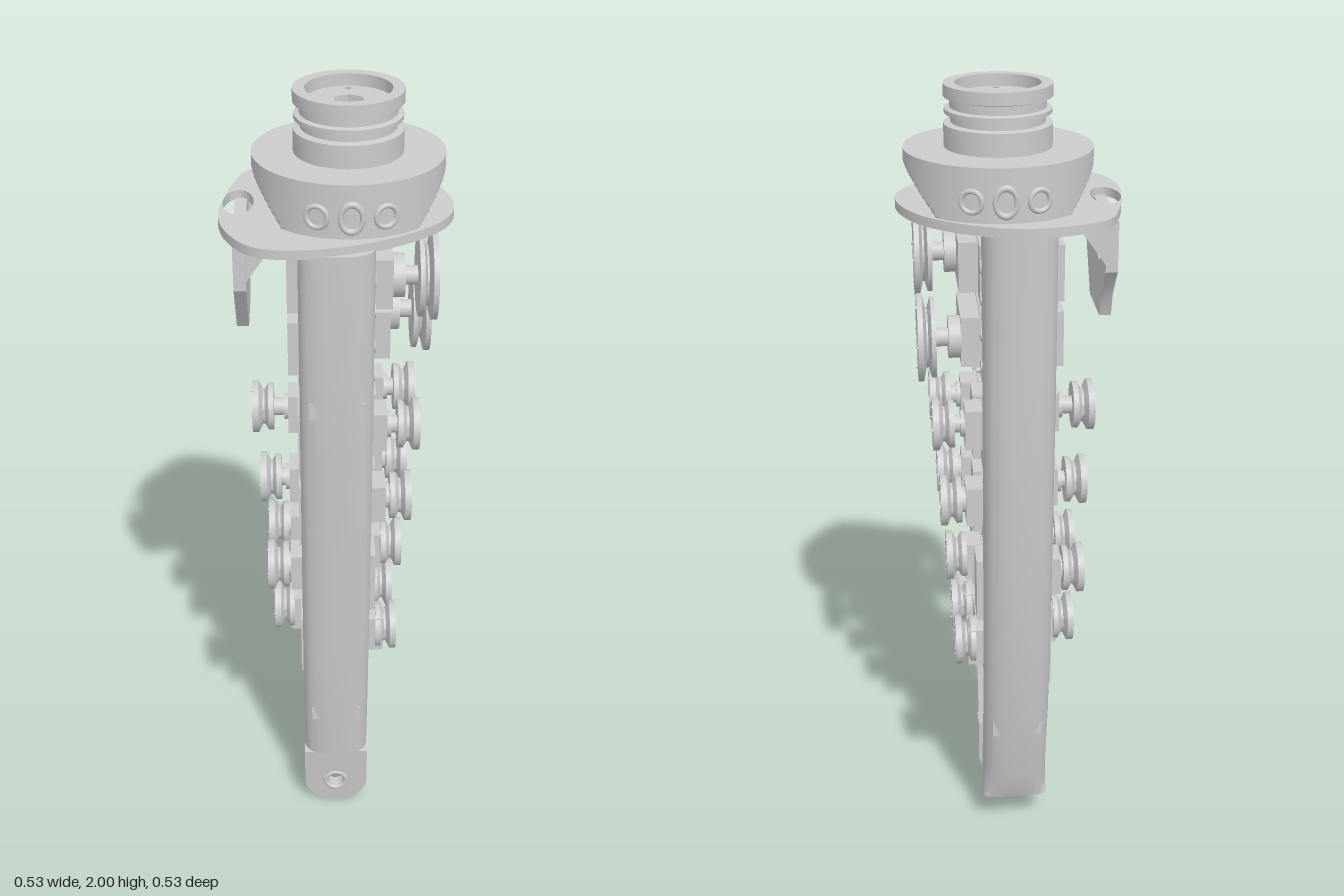
import * as THREE from 'three';
import { toCreasedNormals } from 'three/addons/utils/BufferGeometryUtils.js';

const mat = new THREE.MeshStandardMaterial({ color: 0xcccccc, side: THREE.DoubleSide });
const V = (x, y) => new THREE.Vector2(x, y);

function add(parent, name, geo, x = 0, y = 0, z = 0) {
  const m = new THREE.Mesh(geo, mat);
  m.name = name;
  m.position.set(x, y, z);
  parent.add(m);
  return m;
}
const box = (p, name, w, h, d, x, y, z) => add(p, name, new THREE.BoxGeometry(w, h, d), x, y, z);
// cylinder lying along x
const rod = (p, name, r, len, x, y, z, n = 20) =>
  add(p, name, new THREE.CylinderGeometry(r, r, len, n).rotateZ(-Math.PI / 2), x, y, z);
const circle = (x, y, r, ry = r) => new THREE.Path().absellipse(x, y, r, ry, 0, Math.PI * 2, true);
const poly = (pts) => new THREE.Path(pts.map((p) => V(...p)));
const rect = (x0, y0, x1, y1) => poly([[x0, y0], [x0, y1], [x1, y1], [x1, y0]]);
const ngon = (x, y, r, n) => poly(Array.from({ length: n }, (_, i) => {
  const a = Math.PI / 2 - (i / n) * Math.PI * 2;
  return [x + r * Math.cos(a), y + r * Math.sin(a)];
}));
function extrude(shape, holes, depth) {
  shape.holes.push(...holes);
  const g = new THREE.ExtrudeGeometry(shape, { depth, bevelEnabled: false, curveSegments: 24 });
  return toCreasedNormals(g, 0.6);
}

// Curved shell: rows of [y, outer z, inner z], half-rounded section of half width w
function shell(rows, w) {
  const n = 20, pos = [], idx = [];
  const sign = Math.sign(rows[0][1]);
  for (const [y, zo, zi] of rows) {
    for (let i = 0; i <= n; i++) {
      const a = (i / n) * Math.PI, c = Math.cos(a);
      pos.push(-0.005 + w * Math.sign(c) * Math.abs(c) ** 0.8, y, zi + (zo - zi) * Math.sin(a) ** 0.7);
    }
  }
  const m = n + 1;
  const tri = (a, b, c) => idx.push(...(sign > 0 ? [a, b, c] : [a, c, b]));
  for (let r = 0; r < rows.length - 1; r++) {
    for (let i = 0; i < m; i++) {
      const j = (i + 1) % m, a = r * m + i, b = r * m + j;
      tri(a, a + m, b);
      tri(b, a + m, b + m);
    }
  }
  const last = (rows.length - 1) * m;
  for (let i = 1; i < n; i++) {
    tri(0, i, i + 1);
    tri(last, last + i + 1, last + i);
  }
  const g = new THREE.BufferGeometry();
  g.setAttribute('position', new THREE.Float32BufferAttribute(pos, 3));
  g.setIndex(idx);
  return toCreasedNormals(g, 0.6);
}

// Grooved pulley whose outer face sits at side * xOut
function pulley(parent, side, xOut, y, z, r, w, xShaft) {
  const g = new THREE.Group();
  g.name = 'pulley';
  const p = [[0.014, 0], [r * 0.92, 0], [r * 0.92, w * 0.25], [r * 0.68, w * 0.42], [r * 0.68, w * 0.52],
    [r, w * 0.7], [r, w], [r * 0.5, w], [r * 0.46, w * 0.9], [0.014, w * 0.9], [0.014, 0]];
  const geo = toCreasedNormals(new THREE.LatheGeometry(p.map((q) => V(...q)), 32), 0.6);
  add(g, 'pulleyWheel', geo.rotateZ(-Math.PI / 2), xOut - w);
  rod(g, 'shaft', 0.022, xOut - w - xShaft, (xOut - w + xShaft) / 2, 0, 0);
  rod(g, 'shaftScrew', 0.015, w * 0.8, xOut - w * 0.55, 0, 0, 6);
  for (let i = 0; i < 4; i++) {
    const a = (i / 4) * Math.PI * 2;
    rod(g, 'wheelBolt', r * 0.05, 0.004, xOut + 0.001, Math.sin(a) * r * 0.7, Math.cos(a) * r * 0.7, 8);
  }
  if (side < 0) g.rotation.y = Math.PI;
  g.position.set(0, y, z);
  parent.add(g);
}

// Small servo facing +x or -x with its pulley
function servo(parent, side, y, z, xOut) {
  const g = new THREE.Group();
  g.name = 'smallServo';
  box(g, 'servoBody', 0.17, 0.17, 0.086, -side * 0.01, y - 0.035, z);
  box(g, 'servoEars', 0.012, 0.205, 0.08, side * 0.06, y - 0.03, z);
  box(g, 'gearCase', 0.05, 0.1, 0.078, side * 0.093, y - 0.005, z);
  rod(g, 'gearBoss', 0.032, 0.012, side * 0.122, y, z);
  for (const dy of [-0.122, 0.062]) rod(g, 'earScrew', 0.008, 0.012, side * 0.068, y + dy, z, 8);
  pulley(g, side, xOut, y, z, 0.063, 0.052, 0.11);
  parent.add(g);
}

// Large servo lying along z, facing +x
function largeServo(parent, y, yPulley, z) {
  const g = new THREE.Group();
  g.name = 'largeServo';
  box(g, 'servoBody', 0.195, 0.135, 0.25, -0.018, y, 0);
  box(g, 'gearCase', 0.05, 0.12, 0.19, 0.1, y, z * 0.4);
  rod(g, 'gearBoss', 0.05, 0.03, 0.138, yPulley, z, 24);
  for (const s of [-1, 1]) {
    box(g, 'servoEar', 0.015, 0.125, 0.07, 0.065, y, s * 0.155);
    for (const dy of [-0.037, 0.037]) rod(g, 'earScrew', 0.015, 0.014, 0.076, y + dy, s * 0.18, 12);
  }
  pulley(g, 1, 0.225, yPulley, z, 0.103, 0.042, 0.12);
  parent.add(g);
}

export function createModel() {
  const root = new THREE.Group();
  root.name = 'roboticForearm';

  // Front and back outer shells
  add(root, 'frontShell', shell([[1.72, 0.262, 0.2], [1.4, 0.257, 0.2], [1.2, 0.247, 0.193],
    [0.9, 0.22, 0.17], [0.6, 0.198, 0.15], [0.4, 0.18, 0.125], [0.2, 0.157, 0.09]], 0.085));
  add(root, 'backShell', shell([[1.72, -0.262, -0.19], [1.3, -0.258, -0.185], [1.1, -0.25, -0.175],
    [0.9, -0.238, -0.165], [0.65, -0.215, -0.145], [0.4, -0.18, -0.115], [0.2, -0.147, -0.06],
    [0.14, -0.132, -0.07], [0.1, -0.115, -0.1]], 0.085));

  // Rounded fingertip lug with an eye, thinning towards the bottom
  const lug = new THREE.Shape();
  lug.moveTo(0.085, 0.2).lineTo(-0.085, 0.2).lineTo(-0.085, 0.085);
  lug.absarc(0, 0.085, 0.085, Math.PI, Math.PI * 2, false);
  let geo = extrude(lug, [circle(0, 0.085, 0.022)], 1);
  const p = geo.attributes.position;
  for (let i = 0; i < p.count; i++) {
    const t = p.getY(i) / 0.2;
    const inner = 0.11 - 0.02 * t, outer = 0.125 + 0.022 * t;
    p.setZ(i, inner + (outer - inner) * p.getZ(i));
  }
  add(root, 'frontLug', toCreasedNormals(geo, 0.6), -0.005);
  add(root, 'lugEyeRing', new THREE.TorusGeometry(0.028, 0.007, 8, 24), -0.005, 0.085, 0.134);

  // Central web, drawn in (-z, y), with servo windows and a bottom arch
  const web = new THREE.Shape([[-0.215, 1.715], [-0.21, 1.3], [-0.185, 0.9], [-0.16, 0.6], [-0.14, 0.4],
    [-0.115, 0.16], [-0.075, 0.17], [-0.05, 0.19], [-0.045, 0.225], [-0.025, 0.243], [0.02, 0.243],
    [0.04, 0.225], [0.045, 0.18], [0.075, 0.14], [0.1, 0.15], [0.125, 0.4], [0.165, 0.7], [0.18, 0.9],
    [0.2, 1.3], [0.205, 1.715]].map((q) => V(...q)));
  const webHoles = [rect(-0.14, 0.44, 0.14, 0.87), rect(-0.14, 0.9, 0.14, 1.29),
    rect(-0.13, 1.35, 0.13, 1.66), rect(-0.07, 1.665, 0.075, 1.705)];
  for (const [s, y] of [[-0.11, 0.36], [0.1, 0.37], [-0.18, 1.33], [0.19, 1.32]]) webHoles.push(circle(s, y, 0.011));
  geo = extrude(web, webHoles, 0.12).rotateY(Math.PI / 2);
  add(root, 'centralWeb', geo, -0.065);

  // Small tie slots on both shells
  for (const x of [-0.06, 0.05]) {
    for (const [y, zf, zb] of [[1.335, 0.243, -0.238], [0.36, 0.163, -0.159]]) {
      box(root, 'shellSlot', 0.018, 0.04, 0.012, x, y, zf);
      box(root, 'shellSlot', 0.018, 0.04, 0.012, x, y, zb);
    }
  }

  // Four rows of three small servos; the middle one faces the other way
  const rows = [[1.21, 1, 0.195, 0.205], [1.005, 1, 0.18, 0.19], [0.8, -1, 0.165, 0.175], [0.6, 1, 0.15, 0.163]];
  for (const [y, side, xr, xl] of rows) {
    for (const k of [-1, 0, 1]) {
      const s = k === 0 ? -side : side;
      servo(root, s, y, k * 0.092, s > 0 ? xr : xl);
    }
  }
  largeServo(root, 1.59, 1.59, 0.07);
  largeServo(root, 1.43, 1.43, -0.085);

  // Wrist plate with oval cable opening
  const outline = [[-0.265, 0.07], [-0.257, -0.02], [-0.238, -0.12], [-0.205, -0.205], [-0.13, -0.247],
    [-0.02, -0.266], [0.08, -0.24], [0.19, -0.165], [0.245, -0.08], [0.265, 0.02], [0.24, 0.1], [0.17, 0.17],
    [0.05, 0.235], [-0.1, 0.264], [-0.19, 0.24], [-0.245, 0.16]];
  const curve = new THREE.CatmullRomCurve3(outline.map(([x, z]) => new THREE.Vector3(x, z, 0)), true);
  const plate = new THREE.Shape(curve.getPoints(80).slice(0, -1).map((q) => V(q.x, q.y)));
  geo = extrude(plate, [circle(-0.222, -0.008, 0.035, 0.072)], 0.022).rotateX(Math.PI / 2);
  add(root, 'wristPlate', geo, 0, 1.738);

  // Hanging cable bracket on the right, drawn in (-z, y)
  const bracket = new THREE.Shape([[-0.17, 1.72], [-0.17, 1.6], [-0.1, 1.5], [-0.08, 1.47], [0.08, 1.47],
    [0.1, 1.53], [0.16, 1.6], [0.16, 1.72]].map((q) => V(...q)));
  geo = extrude(bracket, [rect(-0.06, 1.6, -0.02, 1.69), rect(0.03, 1.6, 0.07, 1.69)], 0.028).rotateY(Math.PI / 2);
  add(root, 'cableBracket', geo, -0.232);
  for (const z of [-0.15, 0.15]) {
    const gusset = new THREE.Shape([V(-0.21, 1.72), V(-0.21, 1.61), V(-0.13, 1.72)]);
    add(root, 'bracketGusset', extrude(gusset, [], 0.02), 0, 0, z - 0.01);
  }

  // Wrist collar: a drum whose two sides slope inwards below
  const cx = 0.027, cz = -0.008;
  geo = new THREE.CylinderGeometry(0.217, 0.217, 0.124, 96, 24);
  const c = geo.attributes.position;
  for (let i = 0; i < c.count; i++) {
    const w = Math.min(0.217, 0.15 + (0.067 * (c.getY(i) + 0.062)) / 0.092);
    c.setX(i, THREE.MathUtils.clamp(c.getX(i), -w, w));
  }
  add(root, 'wristCollar', toCreasedNormals(geo, 0.35), cx, 1.798, cz);
  for (const s of [-1, 1]) {
    for (const dx of [-0.075, 0, 0.075]) {
      const z = s * Math.sqrt(0.217 ** 2 - dx * dx);
      const ring = add(root, 'collarHole', new THREE.TorusGeometry(0.024, 0.006, 8, 24), cx + dx, 1.785, cz + z);
      ring.rotation.y = Math.atan2(dx, z);
      if (dx === 0) ring.scale.y = 1.3;
    }
  }

  // Wrist coupling with grooves, open recess and drilled floor
  const knob = [[0.124, 1.86], [0.124, 1.912], [0.108, 1.915], [0.108, 1.932], [0.122, 1.935], [0.122, 1.945],
    [0.11, 1.948], [0.11, 1.968], [0.124, 1.972], [0.124, 2], [0.097, 2], [0.097, 1.965]];
  geo = toCreasedNormals(new THREE.LatheGeometry(knob.map((q) => V(...q)), 32), 0.6);
  add(root, 'wristCoupling', geo, cx, 0, cz);
  const floor = new THREE.Shape().absarc(0, 0, 0.1, 0, Math.PI * 2, false);
  const drill = [ngon(0, 0, 0.037, 6)];
  for (let i = 0; i < 4; i++) drill.push(ngon(0.08 * Math.cos(i * Math.PI / 2), 0.08 * Math.sin(i * Math.PI / 2), 0.01, 4));
  add(root, 'couplingFloor', extrude(floor, drill, 0.03).rotateX(Math.PI / 2), cx, 1.972, cz);

  return root;
}
